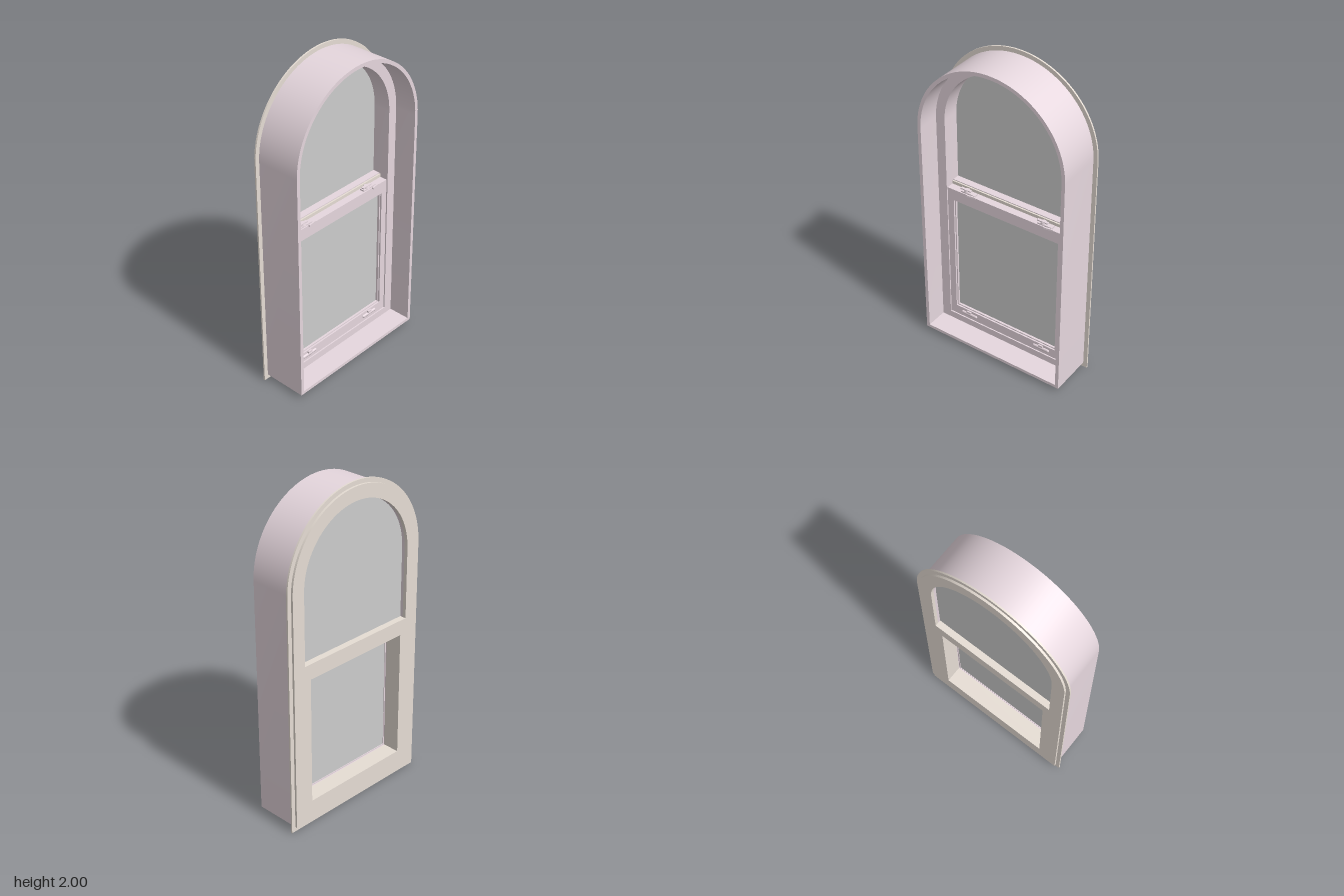
import * as THREE from 'three';
import { toCreasedNormals } from 'three/addons/utils/BufferGeometryUtils.js';

const SPRING = 1.487; // height where the arch begins
const pink = new THREE.MeshStandardMaterial({ color: 0xe6d7de });
const beige = new THREE.MeshStandardMaterial({ color: 0xe6ddd4 });
const grey = new THREE.MeshStandardMaterial({ color: 0xcccccc });

// Round-headed outline of half-width r, standing on y = bottom
function arch(r, bottom, Type = THREE.Shape) {
  const s = new Type();
  s.moveTo(-r, bottom);
  s.lineTo(r, bottom);
  s.lineTo(r, SPRING);
  s.absarc(0, SPRING, r, 0, Math.PI, false);
  s.closePath();
  return s;
}

function rect(r, y0, y1, Type = THREE.Shape) {
  const s = new Type();
  s.moveTo(-r, y0);
  s.lineTo(r, y0);
  s.lineTo(r, y1);
  s.lineTo(-r, y1);
  s.closePath();
  return s;
}

export function createModel() {
  const model = new THREE.Group();
  model.name = 'archedWindow';

  // Slab from z0 to z1 with optional openings
  function slab(name, shape, holes, z0, z1, material) {
    shape.holes.push(...holes);
    const geo = new THREE.ExtrudeGeometry(shape, { depth: z1 - z0, bevelEnabled: false, curveSegments: 24 });
    geo.translate(0, 0, z0);
    const mesh = new THREE.Mesh(toCreasedNormals(geo, 0.5), material);
    mesh.name = name;
    model.add(mesh);
  }
  function block(parent, name, size, pos, material) {
    const mesh = new THREE.Mesh(new THREE.BoxGeometry(...size), material);
    mesh.position.set(...pos);
    mesh.name = name;
    parent.add(mesh);
    return mesh;
  }

  // Fixed frame: deep jamb lining, stepped inner frame, nailing flange and outside face
  slab('jambLining', arch(0.487, 0.03), [arch(0.465, 0.05, THREE.Path)], -0.128, 0.15, pink);
  slab('innerFrame', arch(0.465, 0.05), [arch(0.405, 0.095, THREE.Path)], -0.128, 0.01, pink);
  slab('nailingFlange', arch(0.513, 0), [arch(0.475, 0.04, THREE.Path)], -0.137, -0.127, beige);
  const upperOpening = arch(0.405, 1.05, THREE.Path);
  const lowerOpening = () => rect(0.363, 0.157, 0.955, THREE.Path);
  slab('outsideFace', arch(0.487, 0.03), [upperOpening, lowerOpening()], -0.15, -0.128, beige);

  // Lower panel: outer surround, opening sash and its glazing bead
  slab('lowerSurround', rect(0.405, 0.095, 1.05), [lowerOpening()], -0.128, -0.045, beige);
  slab('lowerSash', rect(0.405, 0.095, 1.03), [lowerOpening()], -0.045, 0.002, pink);
  slab('glazingBead', rect(0.363, 0.157, 0.955), [rect(0.356, 0.164, 0.948, THREE.Path)], -0.04, -0.008, pink);

  // Rail bead under the upper pane
  block(model, 'upperRailBead', [0.81, 0.025, 0.05], [0, 1.0425, -0.08], pink);

  // Panes
  slab('upperGlass', arch(0.406, 1.04), [], -0.11, -0.1, grey);
  slab('lowerGlass', rect(0.36, 0.16, 0.95), [], -0.036, -0.022, grey);

  // Sash locks on top of the lower sash and tilt latches on its bottom rail
  for (const x of [-0.265, 0.265]) {
    const lock = new THREE.Group();
    lock.name = 'sashLock';
    lock.position.set(x, 1.03, -0.02);
    block(lock, 'lockBase', [0.1, 0.008, 0.03], [0, 0.004, 0], pink);
    const cam = new THREE.Mesh(new THREE.CylinderGeometry(0.016, 0.02, 0.014, 16), pink);
    cam.position.set(-0.012, 0.014, 0);
    cam.name = 'lockCam';
    lock.add(cam);
    block(lock, 'lockArm', [0.07, 0.007, 0.016], [-0.018, 0.021, 0.004], pink);
    block(lock, 'lockLever', [0.055, 0.01, 0.01], [0.034, 0.004, 0.027], pink).rotation.y = 0.15;
    model.add(lock);

    const latch = new THREE.Group();
    latch.name = 'bottomLatch';
    latch.position.set(x, 0.128, 0.002);
    const plate = new THREE.Mesh(new THREE.CapsuleGeometry(0.011, 0.095, 4, 10), pink);
    plate.rotation.z = Math.PI / 2;
    plate.scale.z = 0.8;
    plate.name = 'latchPlate';
    latch.add(plate);
    block(latch, 'latchPin', [0.03, 0.012, 0.012], [0, 0.017, 0.004], pink);
    model.add(latch);
  }
  return model;
}
